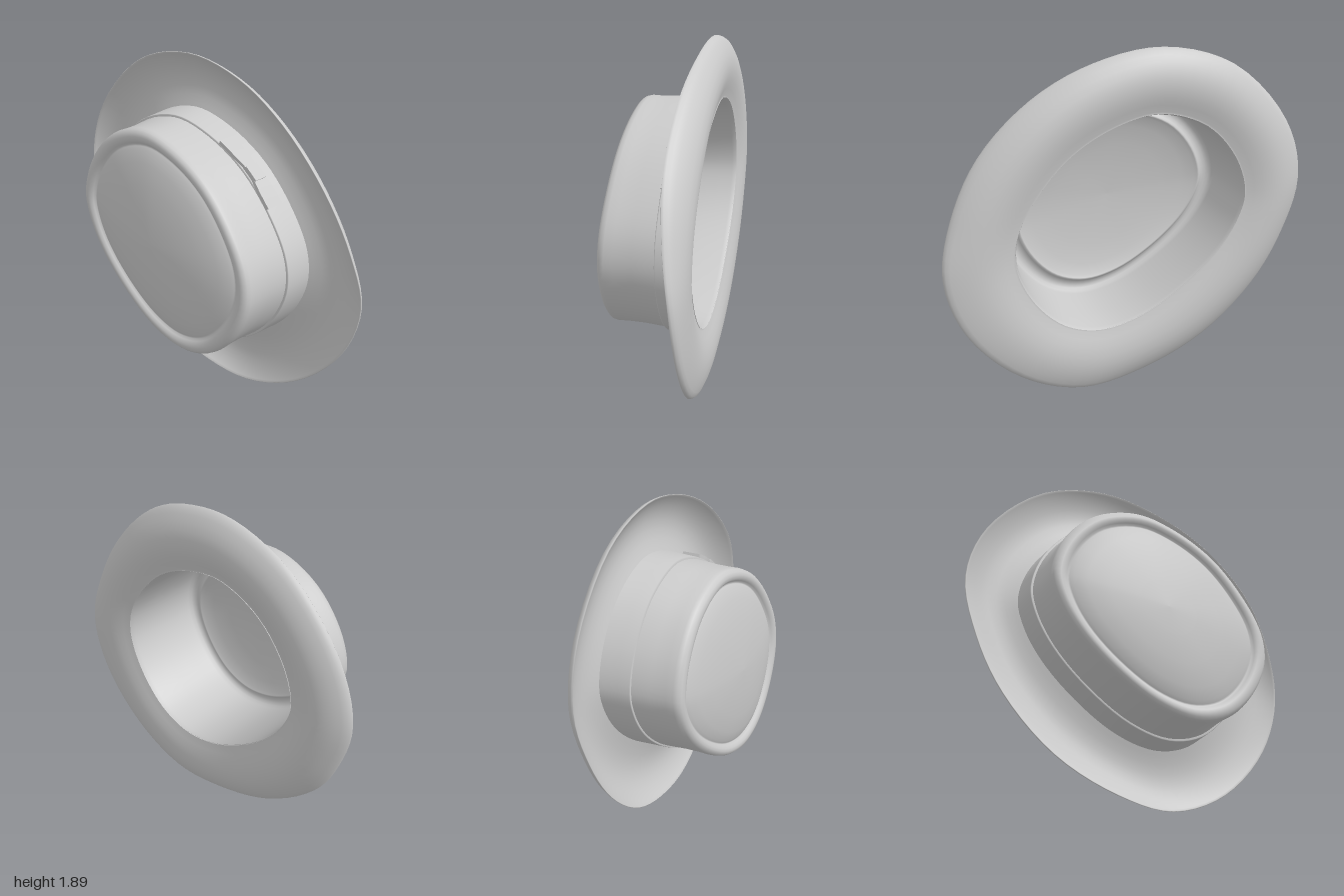
import * as THREE from 'three';

const COLS = 80;
const CENTRE = new THREE.Vector2(-0.02, 0.96);
const V = (p) => new THREE.Vector3(p[0], p[1], p[2] || 0);
const loop = (pts) => new THREE.CatmullRomCurve3(pts.map(V), true);

// Crown outline, clockwise from the top
const crownLine = loop([
  [-0.17, 1.58], [0.08, 1.53], [0.33, 1.39], [0.53, 1.17], [0.64, 0.96], [0.65, 0.77],
  [0.55, 0.55], [0.38, 0.39], [0.17, 0.335], [-0.07, 0.39], [-0.33, 0.55], [-0.54, 0.75],
  [-0.65, 0.93], [-0.685, 1.08], [-0.62, 1.29], [-0.44, 1.49],
]);
// Brim edge, matching the crown points; z gives the curled-up sides
const brimLine = loop([
  [-0.19, 1.885, -0.18], [0.18, 1.82, -0.165], [0.5, 1.65, -0.14], [0.78, 1.37, -0.135],
  [0.94, 1.06, -0.17], [1.0, 0.76, -0.215], [0.9, 0.44, -0.23], [0.62, 0.14, -0.22],
  [0.27, 0.0, -0.2], [-0.08, 0.04, -0.17], [-0.46, 0.2, -0.145], [-0.76, 0.48, -0.14],
  [-0.92, 0.78, -0.16], [-1.0, 1.12, -0.18], [-0.9, 1.45, -0.19], [-0.58, 1.775, -0.19],
]);

// Point on the crown outline scaled by k; the upper part leans with the tilted top
function crownPoint(u, k, z) {
  const p = crownLine.getPoint(u);
  const dx = (p.x - CENTRE.x) * k, dy = (p.y - CENTRE.y) * k;
  const tilt = THREE.MathUtils.clamp((z + 0.06) / 0.24, 0, 1);
  return new THREE.Vector3(CENTRE.x + dx, CENTRE.y + dy, z + tilt * (0.03 * dx - 0.035 * dy));
}

// Point on the brim: t = 0 at the crown, 1 at the edge
function brimPoint(u, t, drop) {
  const a = crownPoint(u, 0.97, -0.22), b = brimLine.getPoint(u);
  const s = Math.max(t, 0);
  const floor = -0.22 - 0.042 * Math.sin(Math.min(s / 0.55, 1) * Math.PI / 2);
  const p = a.clone().lerp(b, t);
  p.z = THREE.MathUtils.lerp(floor, b.z, s ** 4) - drop;
  return p;
}

// Closed rings joined in order
function loft(rings, pointAt) {
  const pos = [], idx = [];
  rings.forEach((r) => {
    for (let j = 0; j < COLS; j++) pos.push(...pointAt(j / COLS, r[0], r[1]).toArray());
  });
  for (let i = 0; i < rings.length - 1; i++) {
    for (let j = 0; j < COLS; j++) {
      const n = (j + 1) % COLS;
      const a = i * COLS + j, b = i * COLS + n, c = a + COLS, d = b + COLS;
      idx.push(a, b, c, b, d, c);
    }
  }
  const g = new THREE.BufferGeometry();
  g.setAttribute('position', new THREE.Float32BufferAttribute(pos, 3));
  g.setIndex(idx);
  g.computeVertexNormals();
  return g;
}

// Flat ribbon piece wrapped on the band; waist narrows one end (-1 or 1)
function ribbon(from, to, width, thick, waist) {
  const g = new THREE.BoxGeometry(1, 1, 1, 6, 1, 1);
  const p = g.attributes.position;
  for (let i = 0; i < p.count; i++) {
    const x = p.getX(i);
    const u = THREE.MathUtils.lerp(to, from, x + 0.5) / 16;
    const w = width * (1 - 0.25 * Math.max(0, 2 * x * waist));
    const v = crownPoint(u, 0.98 + (p.getZ(i) + 0.5) * thick, -0.11 + p.getY(i) * w);
    p.setXYZ(i, v.x, v.y, v.z);
  }
  g.computeVertexNormals();
  return g;
}

export function createModel() {
  const hat = new THREE.Group();
  hat.name = 'hat';
  const material = new THREE.MeshStandardMaterial({ color: 0xcccccc, side: THREE.DoubleSide });
  const add = (name, geometry, parent = hat) => {
    const m = new THREE.Mesh(geometry, material);
    m.name = name;
    parent.add(m);
  };

  // Domed top, groove, raised rim and side wall: [scale, z]
  const top = [[0.001, 0.283], [0.25, 0.278], [0.5, 0.261], [0.68, 0.238], [0.78, 0.217],
    [0.805, 0.205], [0.82, 0.203], [0.835, 0.215], [0.86, 0.226], [0.89, 0.228], [0.92, 0.223],
    [0.942, 0.208], [0.95, 0.185]];
  const wall = [[0.947, 0.14], [0.95, 0.05], [0.965, -0.06], [0.97, -0.24]];
  add('crown', loft([...top, ...wall], crownPoint));

  // Inside of the crown, from the opening up to the top
  const inner = top.map(([k, z]) => [k * 0.975, z - 0.018]).reverse();
  add('lining', loft([[0.955, -0.245], [0.94, -0.22], [0.935, -0.06], [0.925, 0.08], ...inner], crownPoint));

  // Brim: front face, thin edge, back face: [t, drop]
  const steps = [0, 0.12, 0.25, 0.4, 0.55, 0.68, 0.8, 0.9, 0.96];
  add('brim', loft([
    ...steps.map((t) => [t, 0]), [0.99, 0], [1, 0.006], [0.99, 0.014],
    ...[...steps].reverse().map((t) => [t, 0.022]), [-0.03, 0.022],
  ], brimPoint));

  // Ribbon band round the base of the crown
  add('band', loft([[0.95, -0.06], [0.98, -0.06], [0.985, -0.065], [0.99, -0.13], [1, -0.235]], crownPoint));

  // Flat bow on the band
  const bow = new THREE.Group();
  bow.name = 'bow';
  hat.add(bow);
  add('bowLoop', ribbon(1.3, 2.05, 0.1, 0.035, -1), bow);
  add('bowTail', ribbon(2.2, 2.8, 0.11, 0.035, 1), bow);
  add('bowKnot', ribbon(1.98, 2.28, 0.085, 0.05, 0), bow);
  return hat;
}
